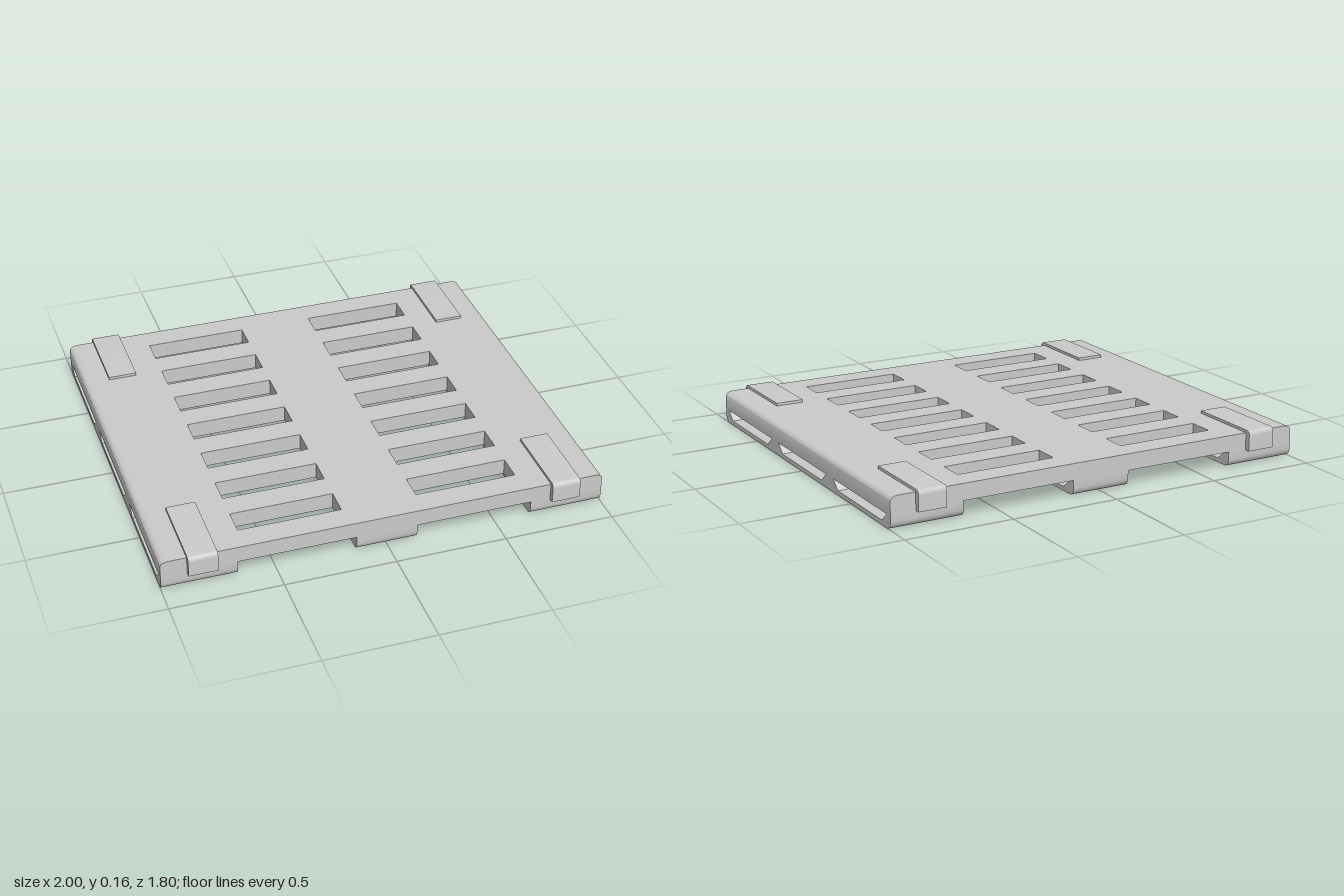
import * as THREE from 'three';
import { toCreasedNormals } from 'three/addons/utils/BufferGeometryUtils.js';

const material = new THREE.MeshStandardMaterial({ color: 0xcccccc });
const HALF_X = 1, HALF_Z = 0.875, DECK_Y = 0.07, TOP_Y = 0.145, INNER_X = 0.665;

function polygon(points, Type = THREE.Shape) {
  return new Type(points.map(([x, y]) => new THREE.Vector2(x, y)));
}

// Extrude a shape, centred on its depth
function extrude(shape, depth) {
  const geo = new THREE.ExtrudeGeometry(shape, { depth, bevelEnabled: false, curveSegments: 6 });
  geo.translate(0, 0, -depth / 2);
  return toCreasedNormals(geo, 0.6);
}

function add(group, name, geo, x = 0) {
  const mesh = new THREE.Mesh(geo, material);
  mesh.name = name;
  mesh.position.x = x;
  group.add(mesh);
}

// Runner side profile: rounded lower ends and three sloped windows
function runnerShape() {
  const r = 0.032, s = new THREE.Shape();
  s.moveTo(-HALF_Z, DECK_Y);
  s.lineTo(-HALF_Z, r);
  s.quadraticCurveTo(-HALF_Z + 0.005, 0, -HALF_Z + r, 0);
  s.lineTo(HALF_Z - r, 0);
  s.quadraticCurveTo(HALF_Z - 0.005, 0, HALF_Z, r);
  s.lineTo(HALF_Z, DECK_Y);
  for (const [a, b] of [[-0.84, -0.33], [-0.255, 0.255], [0.33, 0.84]]) {
    s.holes.push(polygon([[a, 0.06], [b, 0.06], [b - 0.045, 0.02], [a + 0.045, 0.02]], THREE.Path));
  }
  return s;
}

export function createModel() {
  const group = new THREE.Group();
  group.name = 'pallet';

  // Slotted deck panel between the side rails
  const deck = polygon([[-INNER_X, -HALF_Z], [INNER_X, -HALF_Z], [INNER_X, HALF_Z], [-INNER_X, HALF_Z]]);
  for (let row = -3; row <= 3; row++) {
    for (const side of [-1, 1]) {
      const z = row * 0.234, a = side * 0.17, b = side * 0.632;
      deck.holes.push(polygon([[a, z - 0.059], [b, z - 0.059], [b, z + 0.059], [a, z + 0.059]], THREE.Path));
    }
  }
  const deckGeo = extrude(deck, TOP_Y - DECK_Y);
  deckGeo.rotateX(-Math.PI / 2).translate(0, (TOP_Y + DECK_Y) / 2, 0);
  add(group, 'deck', deckGeo);

  // Deck side rails with a rounded upper outer edge
  for (const side of [-1, 1]) {
    const rail = new THREE.Shape();
    rail.moveTo(side * INNER_X, DECK_Y);
    rail.lineTo(side * HALF_X, DECK_Y);
    rail.lineTo(side * HALF_X, TOP_Y - 0.02);
    rail.quadraticCurveTo(side * 0.995, TOP_Y - 0.003, side * 0.968, TOP_Y);
    rail.lineTo(side * INNER_X, TOP_Y);
    add(group, side > 0 ? 'leftDeckRail' : 'rightDeckRail', extrude(rail, 2 * HALF_Z));
  }

  // Three runners
  for (const [name, x, width] of [['rightRunner', -0.8325, 0.335], ['centreRunner', 0, 0.275], ['leftRunner', 0.8325, 0.335]]) {
    add(group, name, extrude(runnerShape(), width).rotateY(Math.PI / 2), x);
  }

  // Corner clips folded over the front and back edges
  const clip = new THREE.Shape();
  clip.moveTo(0.53, TOP_Y - 0.01);
  clip.lineTo(0.53, 0.158);
  clip.lineTo(0.88, 0.158);
  clip.quadraticCurveTo(0.9, 0.158, 0.9, 0.138);
  clip.lineTo(0.9, 0.065);
  clip.lineTo(HALF_Z - 0.01, 0.065);
  clip.lineTo(HALF_Z - 0.01, TOP_Y - 0.01);
  for (const x of [-0.82, 0.82]) {
    for (const end of [-1, 1]) {
      add(group, end > 0 ? 'frontClip' : 'backClip', extrude(clip, 0.13).rotateY(-end * Math.PI / 2), x);
    }
  }
  return group;
}
